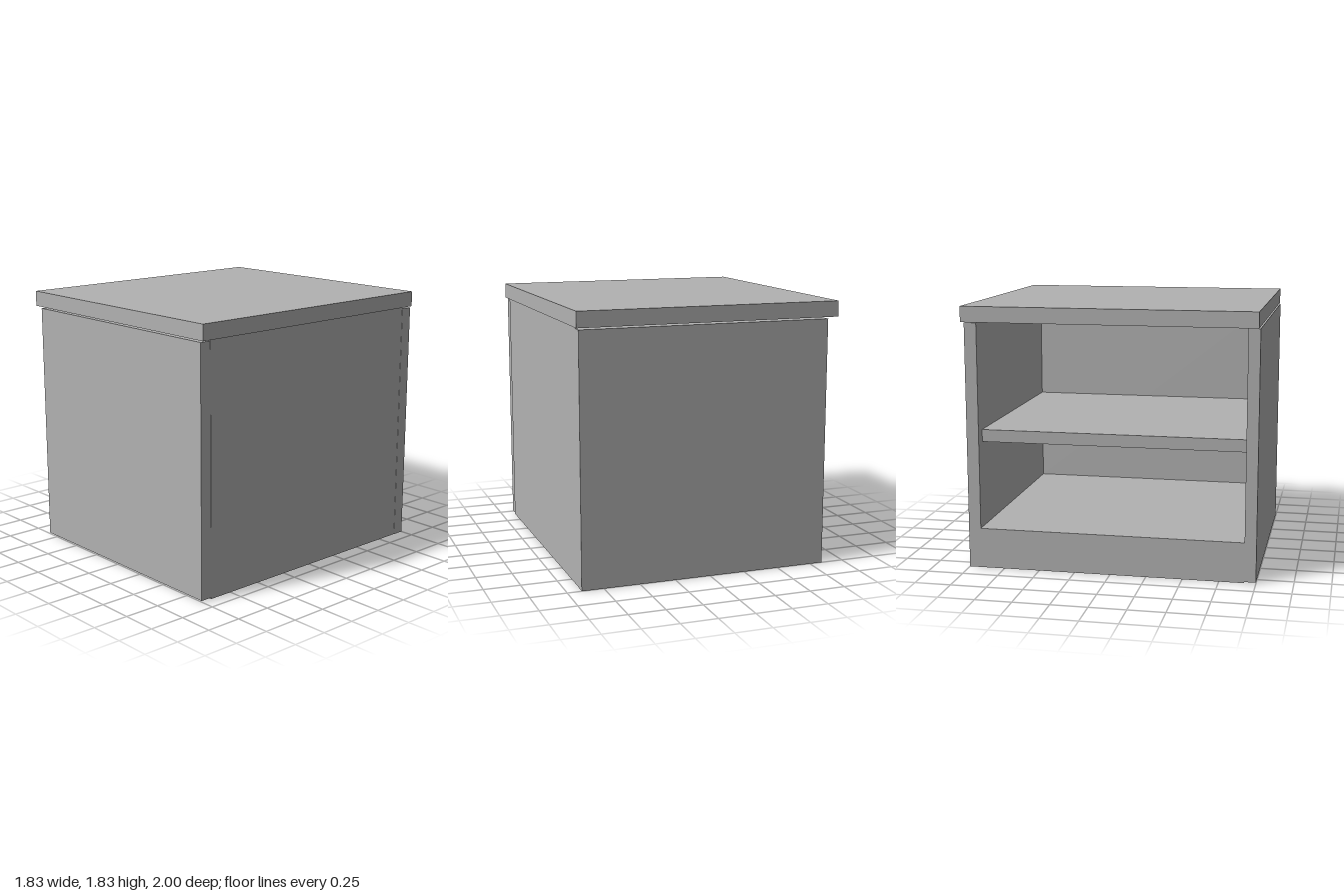
import * as THREE from 'three';

const grey = new THREE.MeshStandardMaterial({ color: 0xb2b2b2 });
grey.name = 'plain grey';

// Board given by its [min, max] extent on each axis
function board(name, [x0, x1], [y0, y1], [z0, z1]) {
  const mesh = new THREE.Mesh(new THREE.BoxGeometry(x1 - x0, y1 - y0, z1 - z0), grey);
  mesh.position.set((x0 + x1) / 2, (y0 + y1) / 2, (z0 + z1) / 2);
  mesh.name = name;
  return mesh;
}

export function createModel() {
  const cabinet = new THREE.Group();
  cabinet.name = 'openCabinet';
  const innerZ = [-0.915, 0.92];

  cabinet.add(
    // Overhanging worktop, a hair above the end panels
    board('worktop', [-0.915, 0.915], [1.723, 1.83], [-1, 0.995]),
    // End panels
    board('frontPanel', [-0.84, 0.897], [0.008, 1.714], [0.92, 1]),
    board('backPanel', [-0.84, 0.902], [0, 1.712], [-1, -0.915]),
    // Closed long side; the opposite side is open
    board('sidePanel', [0.815, 0.9], [0.28, 1.723], innerZ),
    // Base and recessed shelf
    board('base', [-0.84, 0.9], [0, 0.28], innerZ),
    board('shelf', [-0.76, 0.815], [0.88, 0.965], innerZ)
  );
  return cabinet;
}
